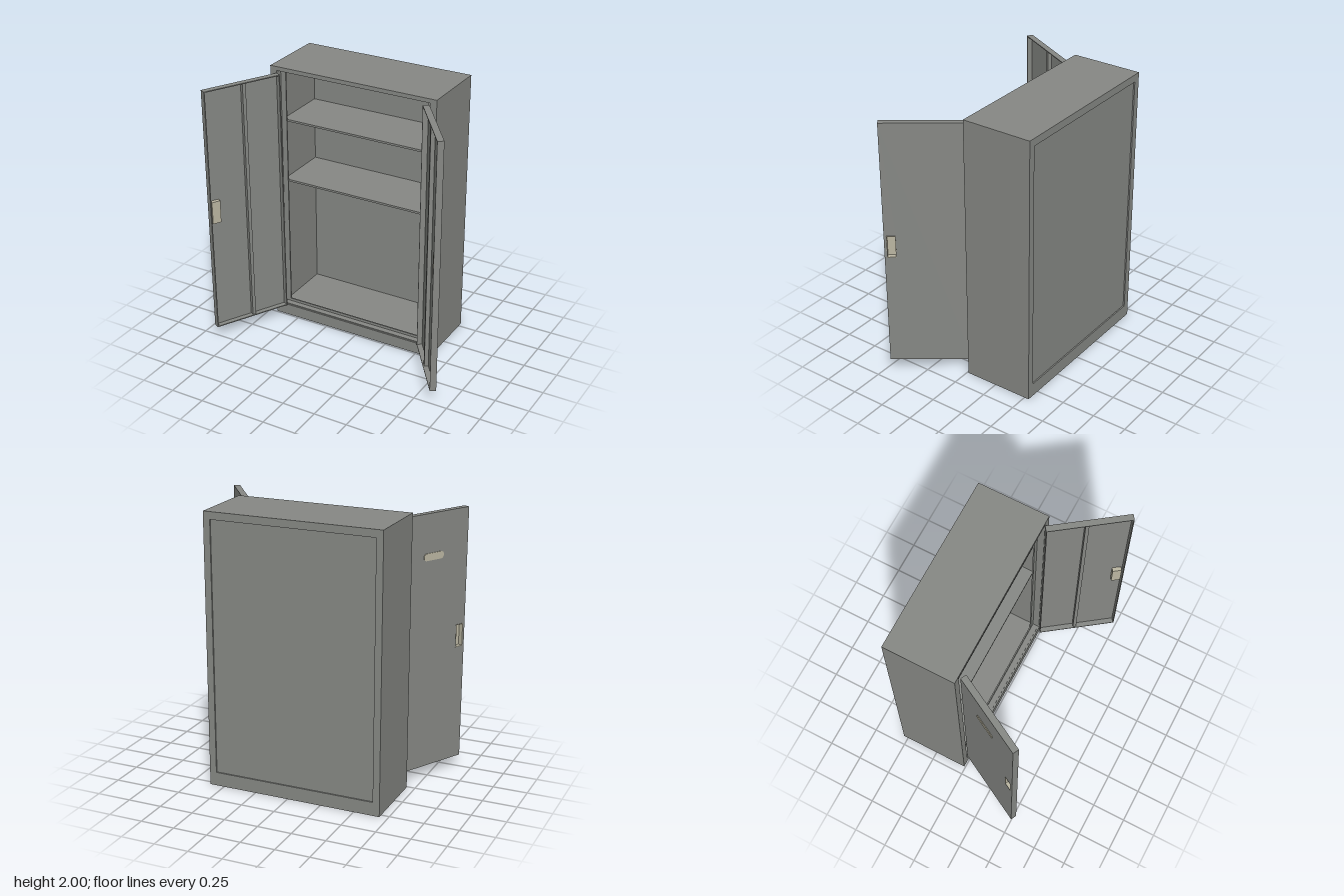
import * as THREE from 'three';

const steel = new THREE.MeshStandardMaterial({ color: 0x868884 });
steel.name = 'grey steel';
const beige = new THREE.MeshStandardMaterial({ color: 0xbbb6a2 });
beige.name = 'beige plastic';

// Box given by its extents on each axis
function box(name, [x0, x1], [y0, y1], [z0, z1], mat = steel) {
  const g = new THREE.BoxGeometry(Math.abs(x1 - x0), Math.abs(y1 - y0), Math.abs(z1 - z0));
  const m = new THREE.Mesh(g, mat);
  m.position.set((x0 + x1) / 2, (y0 + y1) / 2, (z0 + z1) / 2);
  m.name = name;
  return m;
}

function rectangle(target, [x0, x1], [y0, y1]) {
  target.moveTo(x0, y0);
  target.lineTo(x1, y0);
  target.lineTo(x1, y1);
  target.lineTo(x0, y1);
  target.closePath();
  return target;
}

// Flat sheet with a rectangular hole, from z0 to z1
function sheetWithHole(name, xs, ys, holeXs, holeYs, z0, z1) {
  const shape = rectangle(new THREE.Shape(), xs, ys);
  shape.holes.push(rectangle(new THREE.Path(), holeXs, holeYs));
  const low = Math.min(z0, z1);
  const g = new THREE.ExtrudeGeometry(shape, { depth: Math.abs(z1 - z0), bevelEnabled: false });
  const m = new THREE.Mesh(g, steel);
  m.position.z = low;
  m.name = name;
  return m;
}

const L = -0.69, R = 0.61, BACK = -0.535, FRONT = -0.01;
const IN_L = -0.64, IN_R = 0.56;

function cabinetBody() {
  const g = new THREE.Group();
  g.name = 'cabinetBody';
  const depth = [BACK + 0.012, FRONT - 0.012];
  // Outer shell
  g.add(box('topPanel', [L, R], [1.988, 2], depth));
  g.add(box('leftSide', [R - 0.012, R], [0, 1.988], depth));
  g.add(box('rightSide', [L, L + 0.012], [0, 1.988], depth));
  // Inner side linings stop at the floor, leaving the base hollow
  g.add(box('leftLining', [IN_R, R - 0.012], [0.075, 1.988], depth));
  g.add(box('rightLining', [L + 0.012, IN_L], [0.075, 1.988], depth));
  g.add(box('floor', [IN_L, IN_R], [0.075, 0.09], depth));
  g.add(box('ceiling', [IN_L, IN_R], [1.97, 1.988], depth));
  // Front frame, door stop and recessed back
  g.add(sheetWithHole('frontFrame', [L, R], [0, 2], [IN_L, IN_R], [0.085, 1.97], FRONT - 0.012, FRONT));
  g.add(sheetWithHole('doorStop', [IN_L, IN_R], [0.085, 1.972], [-0.6, 0.52], [0.11, 1.945], -0.075, -0.065));
  g.add(sheetWithHole('backFrame', [L, R], [0, 2], [IN_L, IN_R], [0.1, 1.945], BACK, BACK + 0.012));
  g.add(box('backPanel', [IN_L, IN_R], [0.09, 1.97], [BACK + 0.01, BACK + 0.022]));
  // Shelves
  for (const y of [1.09, 1.565]) {
    g.add(box('shelf', [IN_L, IN_R], [y, y + 0.015], [BACK + 0.022, -0.085]));
  }
  return g;
}

// Door pan: x runs from hinge to free edge, outer face at z = 0, inside toward s * z
function door(name, s) {
  const W = 0.588, H = 1.865, D = 0.045, T = 0.007;
  const hx = [0.507, 0.572], hy = [0.85, 1.02];
  const g = new THREE.Group();
  g.name = name;
  g.add(sheetWithHole('doorSheet', [0, W], [0, H], hx, hy, 0, s * T));
  // Turned edges and stiffening rib
  const wall = [s * T, s * D];
  g.add(box('hingeEdge', [0, T], [0, H], wall));
  g.add(box('freeEdge', [W - T, W], [0, H], wall));
  g.add(box('bottomEdge', [T, W - T], [0, T], wall));
  g.add(box('topEdge', [T, W - T], [H - T, H], wall));
  g.add(box('stiffeningRib', [0.265, 0.29], [T, H - T], [s * T, s * 0.036]));
  // Recessed pull cup
  const c = 0.004, cup = [s * -0.002, s * 0.036];
  g.add(box('pullBottom', hx, hy, [s * 0.032, s * 0.036], beige));
  g.add(box('pullSide', [hx[0], hx[0] + c], hy, cup, beige));
  g.add(box('pullSide', [hx[1] - c, hx[1]], hy, cup, beige));
  g.add(box('pullEnd', hx, [hy[0], hy[0] + c], cup, beige));
  g.add(box('pullEnd', hx, [hy[1] - c, hy[1]], cup, beige));
  return g;
}

// Thin oval plate on the outside of a door
function ovalPlate() {
  const shape = new THREE.Shape();
  const a = 0.065, r = 0.026;
  shape.absarc(a, 0, r, -Math.PI / 2, Math.PI / 2, false);
  shape.absarc(-a, 0, r, Math.PI / 2, Math.PI * 1.5, false);
  shape.closePath();
  const g = new THREE.ExtrudeGeometry(shape, { depth: 0.005, bevelEnabled: false, curveSegments: 12 });
  const m = new THREE.Mesh(g, beige);
  m.name = 'ovalPlate';
  return m;
}

export function createModel() {
  const model = new THREE.Group();
  model.name = 'storageCabinet';
  model.add(cabinetBody());

  const leftDoor = door('leftDoor', 1);
  leftDoor.position.set(0.555, 0.09, -0.012);
  leftDoor.rotation.y = Math.atan2(-0.809, 0.588);
  model.add(leftDoor);

  // The right door leans slightly
  const rightDoor = door('rightDoor', -1);
  const plate = ovalPlate();
  plate.position.set(0.27, 1.56, 0);
  rightDoor.add(plate);
  rightDoor.position.set(-0.627, 0.092, -0.012);
  rightDoor.rotation.set(0, Math.atan2(-0.88, -0.473), -0.006);
  model.add(rightDoor);

  return model;
}
